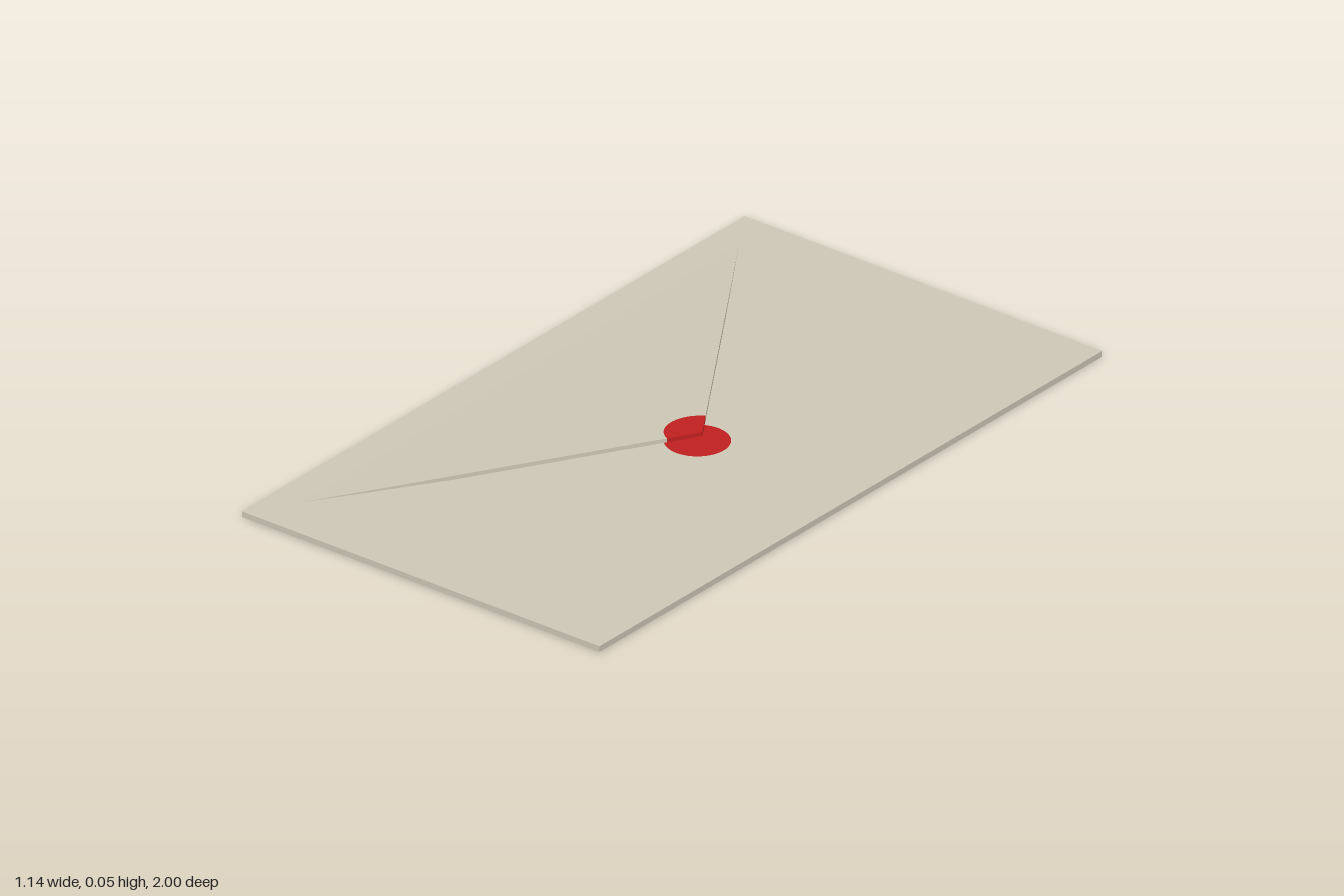
import * as THREE from 'three';

const HALF_W = 0.57, BASE_H = 0.016;                       // envelope body
const HINGE = -0.569, TIP = 0.097, HALF_L = 0.998;         // flap plan
const FLAP_T = 0.011, SLOPE = 0.0505, FLAP_Y = 0.0008;     // flap thickness and lift
const SEAL_X = 0.081, SEAL_R = 0.084;                      // wax seal

export function createModel() {
  const group = new THREE.Group();
  const paper = new THREE.MeshStandardMaterial({ color: 0xccc6b4 });
  const red = new THREE.MeshStandardMaterial({ color: 0xc02020 });
  const add = (name, geometry, material) => {
    const mesh = new THREE.Mesh(geometry, material);
    mesh.name = name;
    group.add(mesh);
    return mesh;
  };

  // Extrude a plan outline, lay it flat and lift it gradually away from the hinge
  const liftedSheet = (shape) => {
    const g = new THREE.ExtrudeGeometry(shape, { depth: FLAP_T, bevelEnabled: false, curveSegments: 32 });
    g.rotateX(-Math.PI / 2);
    const p = g.attributes.position;
    for (let i = 0; i < p.count; i++) {
      p.setY(i, p.getY(i) + FLAP_Y + SLOPE * (p.getX(i) - HINGE));
    }
    g.computeVertexNormals();
    return g;
  };

  // Body of the envelope
  add('envelopeBody', new THREE.BoxGeometry(HALF_W * 2, BASE_H, 2), paper).position.y = BASE_H / 2;

  // Where the seal's circle crosses the sloping flap edges
  const m = (TIP - HINGE) / HALF_L, d = TIP - SEAL_X, q = 1 + m * m;
  const cz = (d * m + Math.sqrt(d * d * m * m - q * (d * d - SEAL_R ** 2))) / q;
  const cx = TIP - m * cz;
  const angle = Math.atan2(cz, cx - SEAL_X);

  // Triangular flap, ending at the seal
  const flap = new THREE.Shape();
  flap.moveTo(HINGE, HALF_L);
  flap.lineTo(cx, cz);
  flap.absarc(SEAL_X, 0, SEAL_R, angle, 2 * Math.PI - angle, false);
  flap.lineTo(HINGE, -HALF_L);
  flap.closePath();
  add('flap', liftedSheet(flap), paper);

  // Half of the seal stuck to the flap tip
  const tip = new THREE.Shape();
  tip.moveTo(TIP, 0);
  tip.lineTo(cx, cz);
  tip.absarc(SEAL_X, 0, SEAL_R, angle, 2 * Math.PI - angle, false);
  tip.closePath();
  add('sealOnFlap', liftedSheet(tip), red);

  // Rest of the seal on the body
  const disc = new THREE.CircleGeometry(SEAL_R, 48).rotateX(-Math.PI / 2);
  add('sealOnBody', disc, red).position.set(SEAL_X, BASE_H + 0.0006, 0);

  return group;
}
